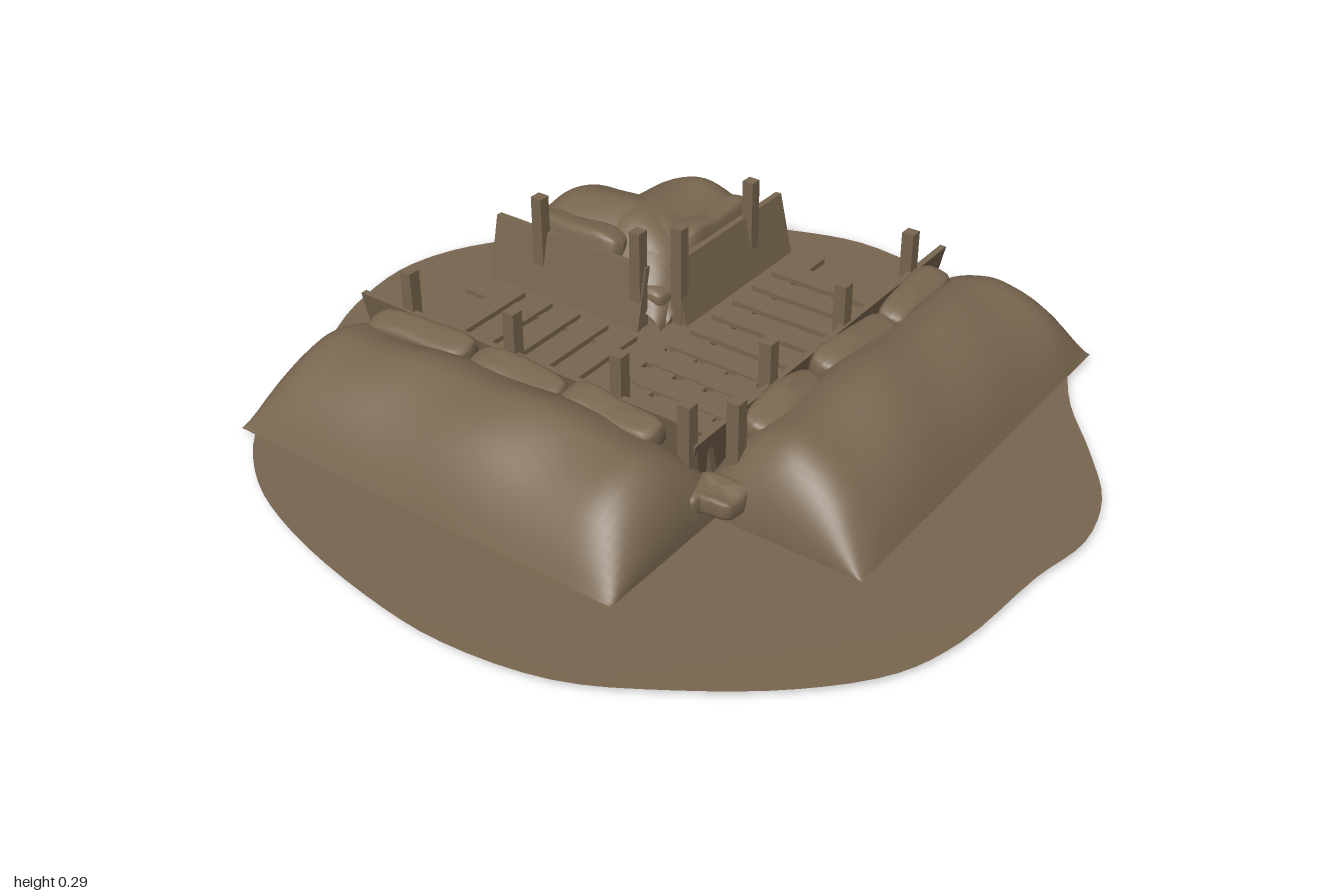
import * as THREE from 'three';

const earth = new THREE.MeshStandardMaterial({ color: 0x78664f, side: THREE.DoubleSide });
earth.name = 'brown earth';

const GROUND = 0.018;

function add(parent, name, geometry, x = 0, y = 0, z = 0) {
  const mesh = new THREE.Mesh(geometry, earth);
  mesh.name = name;
  mesh.position.set(x, y, z);
  parent.add(mesh);
  return mesh;
}

function box(parent, name, x0, x1, y0, y1, z0, z1) {
  return add(parent, name, new THREE.BoxGeometry(x1 - x0, y1 - y0, z1 - z0),
    (x0 + x1) / 2, (y0 + y1) / 2, (z0 + z1) / 2);
}

// Irregular flat patch of soil
function groundGeometry() {
  const outline = [
    [0.09, -1], [0.25, -0.96], [0.42, -0.85], [0.57, -0.73], [0.78, -0.5], [0.89, -0.28],
    [0.945, -0.08], [0.92, 0.15], [0.9, 0.38], [0.85, 0.52], [0.74, 0.63], [0.55, 0.74],
    [0.4, 0.86], [0.25, 0.96], [0.09, 0.995], [-0.08, 0.965], [-0.35, 0.935], [-0.5, 0.88],
    [-0.65, 0.75], [-0.8, 0.55], [-0.91, 0.35], [-0.955, 0.1], [-0.94, -0.12], [-0.88, -0.4],
    [-0.8, -0.59], [-0.67, -0.74], [-0.5, -0.83], [-0.3, -0.89], [-0.12, -0.965],
  ].map(([x, z]) => new THREE.Vector3(x, -z, 0));
  const curve = new THREE.CatmullRomCurve3(outline, true);
  const shape = new THREE.Shape(curve.getPoints(116).slice(0, -1).map((p) => new THREE.Vector2(p.x, p.y)));
  return new THREE.ShapeGeometry(shape).rotateX(-Math.PI / 2);
}

// Cross-section of a bank: [fraction of depth, height]
const PROFILE = [[0, 0.05], [0.08, 0.11], [0.2, 0.165], [0.35, 0.195], [0.48, 0.2],
  [0.65, 0.175], [0.8, 0.13], [0.92, 0.065], [1, 0]];
const profileCurve = new THREE.SplineCurve(PROFILE.map((p) => new THREE.Vector2(...p)));

// Soft bank on a rectangular footprint, rounded down at both ends
function moundGeometry(x0, x1, z0, z1, seed) {
  const nx = 48, nz = 24;
  const g = new THREE.PlaneGeometry(1, 1, nx, nz).rotateX(-Math.PI / 2);
  const p = g.attributes.position;
  for (let i = 0; i < p.count; i++) {
    const u = p.getX(i) + 0.5;
    const c = profileCurve.getPoint(THREE.MathUtils.clamp(p.getZ(i) + 0.5, 0, 1));
    const x = x0 + (x1 - x0) * (0.5 - 0.5 * Math.cos(u * Math.PI));
    const z = z0 + (z1 - z0) * c.x;
    const t = Math.min(1, Math.min(x - x0, x1 - x) / 0.14);
    const end = Math.sqrt(Math.max(0, 1 - (1 - t) ** 2));
    const lumps = 1 + 0.06 * Math.sin(x * 7 + seed) + 0.03 * Math.sin(x * 17 + z * 9 + seed * 2);
    p.setXYZ(i, x, GROUND + Math.max(0, c.y) * end * lumps, z);
  }
  g.computeVertexNormals();
  return g;
}

// Stuffed sack: a squared-off ellipsoid with a little sag
function bagGeometry(w, h, d, seed) {
  const g = new THREE.SphereGeometry(1, 20, 14);
  const p = g.attributes.position;
  const square = (v) => Math.sign(v) * Math.abs(v) ** 0.5;
  for (let i = 0; i < p.count; i++) {
    const x = square(p.getX(i)), y = square(p.getY(i)), z = square(p.getZ(i));
    const k = 1 + 0.08 * Math.sin(x * 3 + seed * 2.1);
    p.setXYZ(i, x * w / 2, y * h * k / 2 + 0.004 * Math.sin(x * 4 + seed), z * d * k / 2);
  }
  g.computeVertexNormals();
  return g;
}

// Retaining wall leaning back from the trench
function wallGeometry(length) {
  const s = new THREE.Shape([[0.205, 0.02], [0.222, 0.02], [0.26, 0.187], [0.243, 0.187]]
    .map(([z, y]) => new THREE.Vector2(-z, y)));
  return new THREE.ExtrudeGeometry(s, { depth: length, bevelEnabled: false }).rotateY(Math.PI / 2);
}

// One side of the trench; local +z points away from the trench
function trenchSide(name, turn, spec, seed) {
  const side = new THREE.Group();
  side.name = name;
  const [x0, x1, depth] = spec.mound;
  add(side, 'earthBank', moundGeometry(x0, x1, 0.245, depth, seed));
  const [w0, w1] = spec.wall;
  add(side, 'retainingWall', wallGeometry(w1 - w0), w0, 0, 0);
  for (const x of spec.posts) box(side, 'post', x - 0.016, x + 0.016, 0, 0.29, 0.222, 0.254);
  // Long sacks along the top of the wall
  spec.bags.forEach(([a, b], i) => {
    const bag = add(side, 'sandbag', bagGeometry(b - a, 0.08, 0.09, seed + i), (a + b) / 2, 0.17, 0.312);
    bag.rotation.y = 0.06 * Math.sin(seed * 3 + i * 2);
    bag.rotation.x = 0.2;
  });
  // Short sacks low down at the ends
  spec.ends.forEach(([a, b], i) => {
    const bag = add(side, 'endSandbag', bagGeometry(b - a, 0.06, 0.12, seed + i + 5), (a + b) / 2, 0.082, 0.322);
    bag.rotation.y = 0.1 * Math.sin(seed + i);
  });
  side.rotation.y = turn;
  return side;
}

// Slatted walkway: two runners with cross slats, along local x
function duckboard(name, start, end, first, count, lift) {
  const board = new THREE.Group();
  board.name = name;
  for (const z of [-0.112, 0.115]) {
    box(board, 'runner', start, end, 0.008, 0.03 + lift, z - 0.014, z + 0.014);
  }
  for (let i = 0; i < count; i++) {
    const x = first + i * 0.0915;
    box(board, 'slat', x, x + 0.067, 0.028 + lift, 0.042 + lift, -0.162, 0.162);
  }
  return board;
}

export function createModel() {
  const model = new THREE.Group();
  model.name = 'trenchJunction';

  add(model, 'ground', groundGeometry(), 0, GROUND, 0);

  model.add(
    trenchSide('frontSide', 0, {
      mound: [-0.305, 0.785, 0.68], wall: [-0.31, 0.785], posts: [-0.31, 0, 0.315, 0.63],
      bags: [[-0.18, 0.09], [0.11, 0.39], [0.39, 0.66]], ends: [[-0.36, -0.26], [0.72, 0.785]],
    }, 1),
    trenchSide('rightSide', -Math.PI / 2, {
      mound: [-0.78, 0.31, 0.675], wall: [-0.78, 0.25], posts: [-0.63, -0.31, 0, 0.315],
      bags: [[-0.68, -0.38], [-0.37, -0.1], [-0.1, 0.17]], ends: [[-0.785, -0.71], [0.25, 0.31]],
    }, 2.6),
    trenchSide('backLeftSide', Math.PI / 2, {
      mound: [0.25, 0.78, 0.68], wall: [0.29, 0.78], posts: [0.31, 0.625],
      bags: [[0.41, 0.69]], ends: [[0.26, 0.38], [0.71, 0.795]],
    }, 4),
    trenchSide('leftBackSide', Math.PI, {
      mound: [-0.785, -0.27, 0.675], wall: [-0.785, -0.3], posts: [-0.63, -0.315],
      bags: [[-0.69, -0.41]], ends: [[-0.82, -0.73]],
    }, 5.2),
  );

  model.add(duckboard('sideWalkway', -0.2, 0.785, -0.2, 10, 0.004));
  const back = duckboard('backWalkway', -0.21, 0.78, -0.2, 10, 0);
  back.rotation.y = Math.PI / 2;
  model.add(back);

  return model;
}
